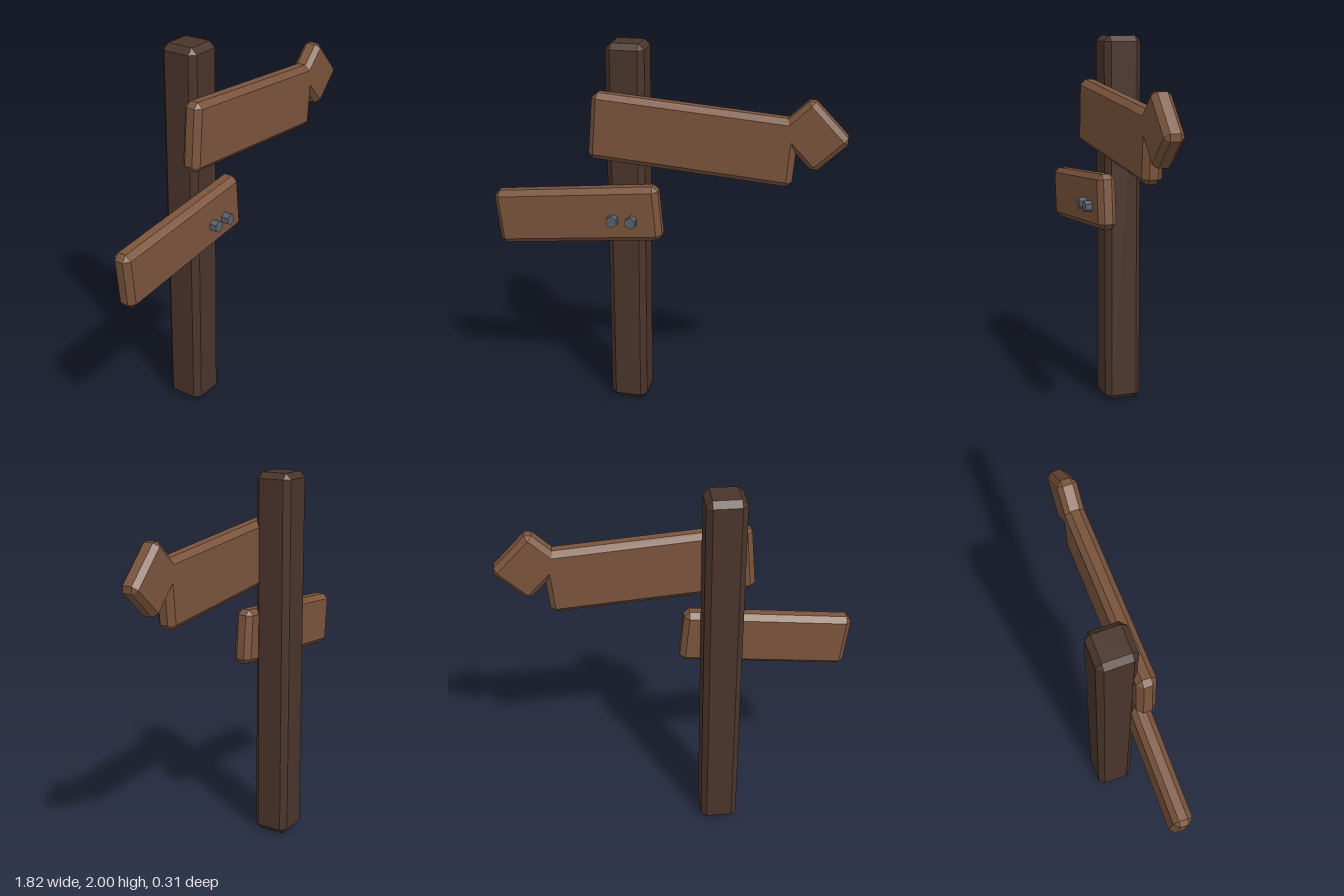
import * as THREE from 'three';
import { ConvexGeometry } from 'three/addons/geometries/ConvexGeometry.js';

// Box with every edge cut by a flat chamfer c
function chamferBox(w, h, d, c) {
  const points = [];
  for (const sx of [-1, 1]) for (const sy of [-1, 1]) for (const sz of [-1, 1]) {
    for (let full = 0; full < 3; full++) {
      const p = [w, h, d].map((size, i) => size / 2 - (i === full ? 0 : c));
      points.push(new THREE.Vector3(sx * p[0], sy * p[1], sz * p[2]));
    }
  }
  return new ConvexGeometry(points);
}

export function createModel() {
  const sign = new THREE.Group();
  sign.name = 'signpost';

  const material = (color) => new THREE.MeshStandardMaterial({ color, flatShading: true });
  const darkWood = material(0x4a352b);
  const lightWood = material(0x7a543c);
  const metal = material(0x5a6068);

  const add = (name, geometry, mat, x, y, z, degrees = 0) => {
    const mesh = new THREE.Mesh(geometry, mat);
    mesh.name = name;
    mesh.position.set(x, y, z);
    mesh.rotation.z = THREE.MathUtils.degToRad(degrees);
    sign.add(mesh);
  };

  // Upright post
  add('post', chamferBox(0.2, 2, 0.2, 0.03), darkWood, -0.21, 1, -0.055);

  // Upper board with its pointed head, and the lower board
  const boardZ = 0.066;
  add('upperBoard', chamferBox(1.04, 0.345, 0.1, 0.028), lightWood, 0.142, 1.553, boardZ, -4.7);
  add('arrowHead', chamferBox(0.283, 0.243, 0.1, 0.025), lightWood, 0.74, 1.607, boardZ, -46);
  add('lowerBoard', chamferBox(0.888, 0.293, 0.1, 0.028), lightWood, -0.458, 1.103, boardZ, 5.6);

  // Hexagonal bolt heads on the lower board
  const bolt = new THREE.CylinderGeometry(0.031, 0.031, 0.08, 6).rotateX(Math.PI / 2);
  for (const [name, x] of [['rightBolt', -0.26], ['leftBolt', -0.16]]) {
    add(name, bolt, metal, x, 1.104, 0.115);
  }

  return sign;
}
